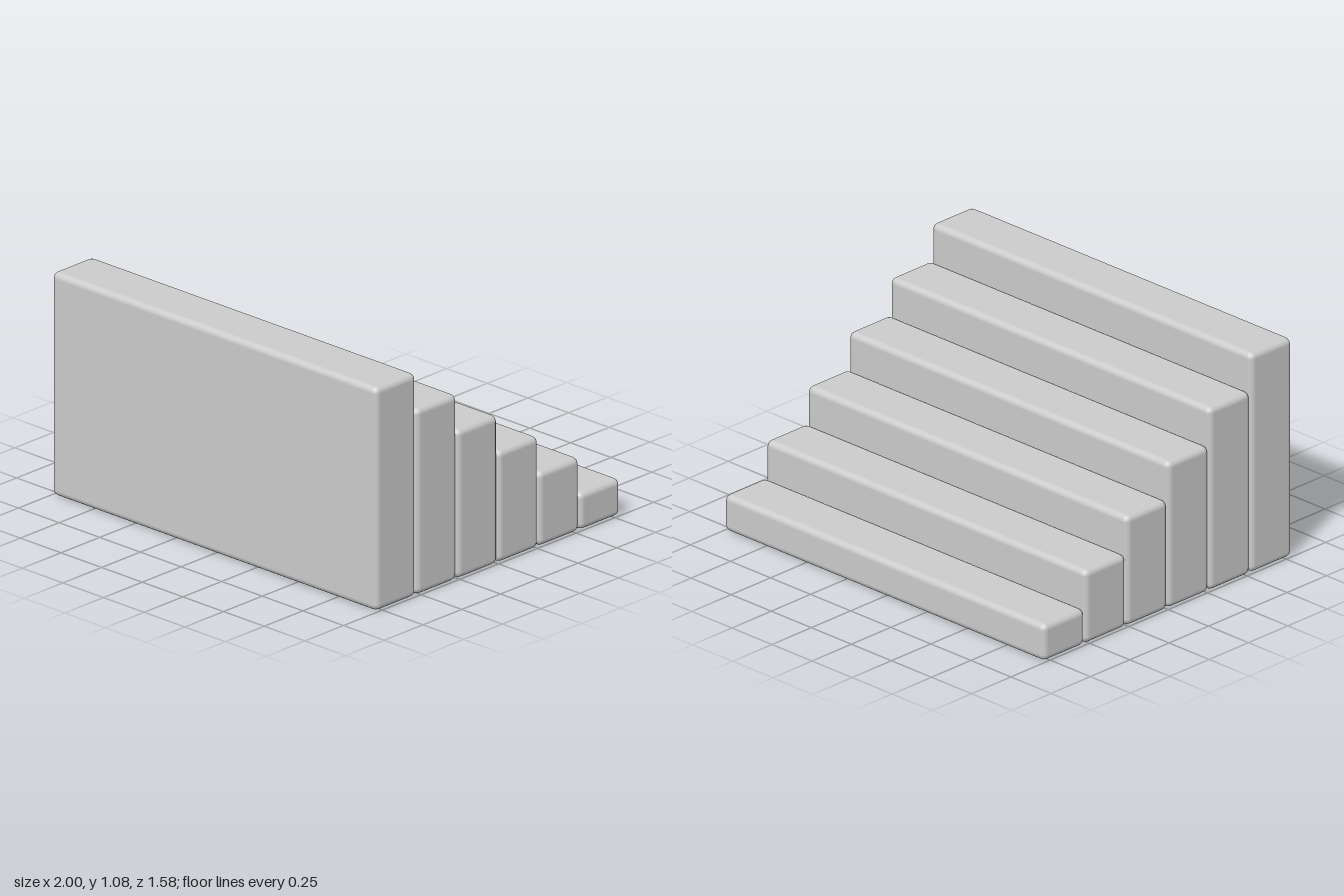
import * as THREE from 'three';
import { RoundedBoxGeometry } from 'three/addons/geometries/RoundedBoxGeometry.js';

const STEPS = 6;
const WIDTH = 2;
const DEPTH = 1.58 / STEPS;
const RISE = 1.075 / STEPS;
const BEVEL = 0.03;

export function createModel() {
  const group = new THREE.Group();
  group.name = 'staircase';
  const material = new THREE.MeshStandardMaterial({ color: 0xcccccc });

  // Full-height blocks side by side, climbing from the back to the front
  for (let i = 0; i < STEPS; i++) {
    const height = RISE * (i + 1);
    const step = new THREE.Mesh(new RoundedBoxGeometry(WIDTH, height, DEPTH, 2, BEVEL), material);
    step.name = `step${i + 1}`;
    step.position.set(0, height / 2, (i - (STEPS - 1) / 2) * DEPTH);
    group.add(step);
  }
  return group;
}
